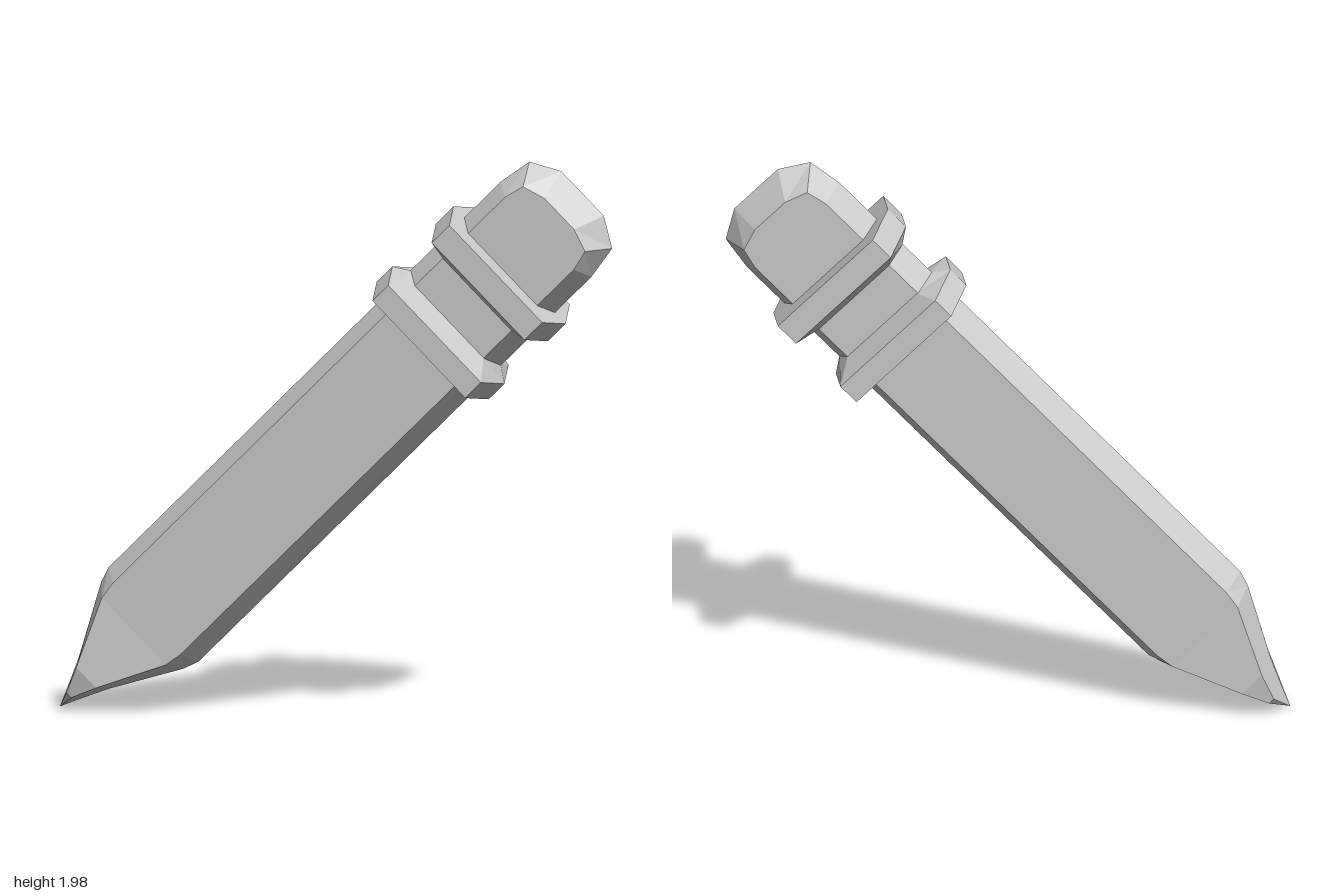
import * as THREE from 'three';

const material = new THREE.MeshStandardMaterial({ color: 0xcccccc, flatShading: true });

// Hexagonal cross-section: knife edges at x = ±edge (z = 0, height yEdge),
// flat faces spanning x = ±flat at z = ±depth (height yFlat).
function hexRing([yEdge, edge, yFlat, flat, depth]) {
  return [
    [edge, yEdge, 0], [flat, yFlat, depth], [-flat, yFlat, depth],
    [-edge, yEdge, 0], [-flat, yFlat, -depth], [flat, yFlat, -depth],
  ];
}

// Joins the sections from bottom to top and closes both ends.
function loft(name, sections) {
  const rings = sections.map(hexRing);
  const positions = [];
  const quad = (a, b, c, d) => positions.push(...a, ...b, ...c, ...a, ...c, ...d);
  for (let i = 0; i < rings.length - 1; i++) {
    const lower = rings[i], upper = rings[i + 1];
    for (let j = 0; j < 6; j++) {
      const k = (j + 1) % 6;
      quad(lower[j], upper[j], upper[k], lower[k]);
    }
  }
  const first = rings[0], last = rings[rings.length - 1];
  quad(first[0], first[1], first[2], first[3]);
  quad(first[0], first[3], first[4], first[5]);
  quad(last[3], last[2], last[1], last[0]);
  quad(last[5], last[4], last[3], last[0]);
  const geometry = new THREE.BufferGeometry();
  geometry.setAttribute('position', new THREE.Float32BufferAttribute(positions, 3));
  geometry.computeVertexNormals();
  const mesh = new THREE.Mesh(geometry, material);
  mesh.name = name;
  return mesh;
}

export function createModel() {
  const model = new THREE.Group();
  model.name = 'shortBlade';

  // Blade and grip: pointed tip, straight body, rounded pommel end
  model.add(loft('bladeAndGrip', [
    [0, 0, 0, 0, 0],
    [0.07, 0.03, 0.08, 0.012, 0.108],
    [0.17, 0.075, 0.175, 0.05, 0.128],
    [0.42, 0.21, 0.41, 0.162, 0.109],
    [0.475, 0.228, 0.475, 0.172, 0.108],
    [2.465, 0.23, 2.465, 0.175, 0.108],
    [2.59, 0.21, 2.54, 0.157, 0.108],
    [2.65, 0.108, 2.567, 0.075, 0.108],
  ]));

  // Lower guard, its upper face sloping up to the grip
  model.add(loft('lowerGuard', [
    [1.89, 0.284, 1.89, 0.235, 0.217],
    [1.97, 0.284, 1.97, 0.235, 0.217],
    [2.01, 0.225, 2.01, 0.172, 0.106],
  ]));

  // Upper guard, its lower face sloping down to the grip
  model.add(loft('upperGuard', [
    [2.15, 0.225, 2.15, 0.172, 0.106],
    [2.19, 0.284, 2.19, 0.235, 0.217],
    [2.28, 0.284, 2.28, 0.235, 0.217],
  ]));

  // Lean the whole piece diagonally, standing on its tip
  model.rotation.z = -Math.PI / 4;
  model.position.set(-0.988, 0.003, 0);
  const root = new THREE.Group();
  root.add(model);
  return root;
}
